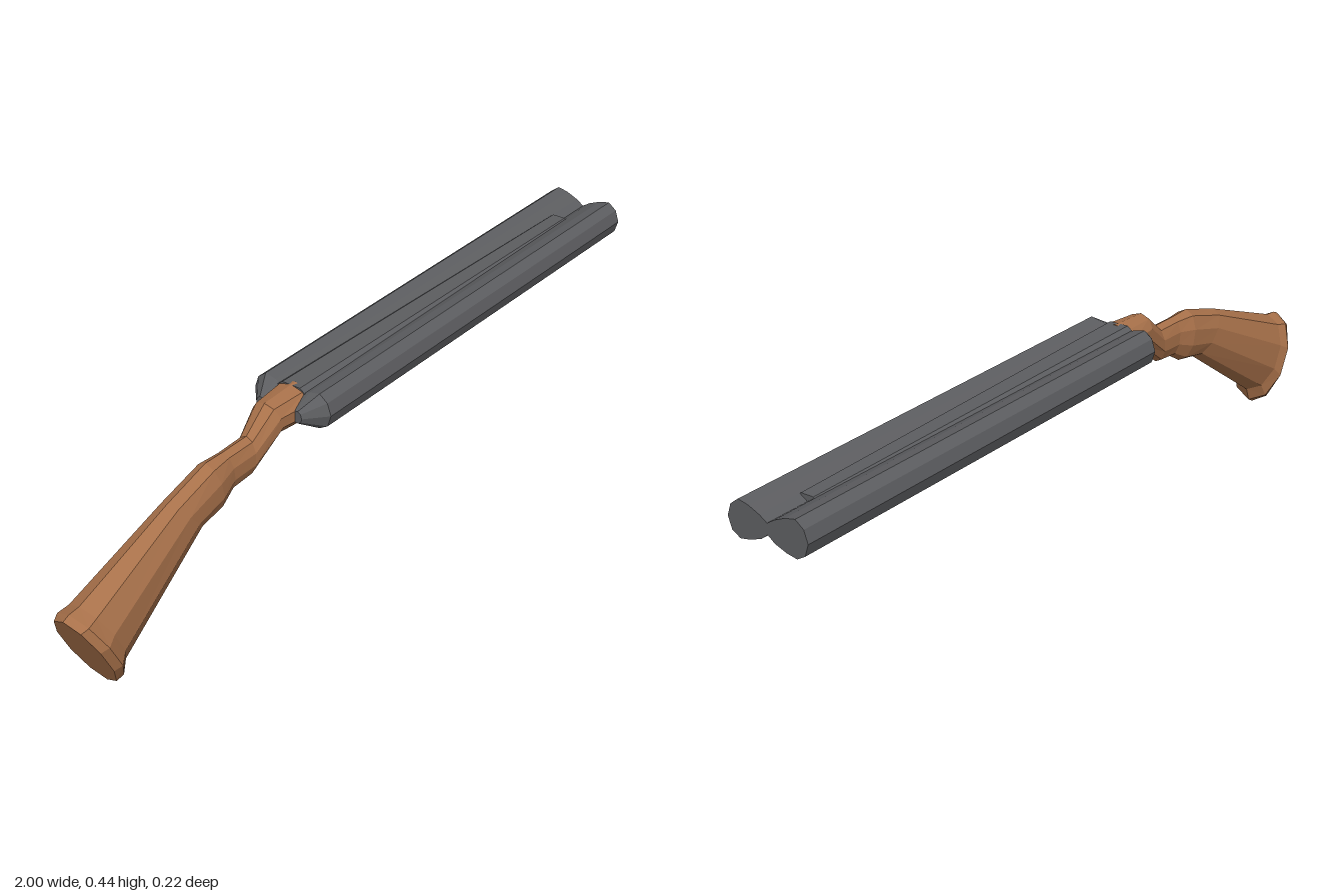
import * as THREE from 'three';

const wood = new THREE.MeshStandardMaterial({ color: 0xa8714a, flatShading: true });
const metal = new THREE.MeshStandardMaterial({ color: 0x5c5d60, flatShading: true });

// Skin a row of equal-length rings running towards +x, closed at both ends
function loft(name, rings, material) {
  const n = rings[0].length;
  const index = [];
  for (let i = 0; i < rings.length - 1; i++) {
    for (let j = 0; j < n; j++) {
      const a = i * n + j, b = i * n + (j + 1) % n;
      index.push(a, b, a + n, b, b + n, a + n);
    }
  }
  const last = (rings.length - 1) * n;
  for (let j = 1; j < n - 1; j++) {
    index.push(0, j + 1, j, last, last + j, last + j + 1);
  }
  const geometry = new THREE.BufferGeometry();
  geometry.setAttribute('position', new THREE.Float32BufferAttribute(rings.flat(2), 3));
  geometry.setIndex(index);
  const flat = geometry.toNonIndexed();
  flat.computeVertexNormals();
  const mesh = new THREE.Mesh(flat, material);
  mesh.name = name;
  return mesh;
}

// Elliptical ring through a top and a bottom point, with a half width in z
function ring([tx, ty, bx, by, w], sides, phase = 0) {
  return Array.from({ length: sides }, (_, j) => {
    const a = (j + phase) / sides * Math.PI * 2;
    const t = (1 - Math.cos(a)) / 2;
    return [tx + (bx - tx) * t, ty + (by - ty) * t, Math.sin(a) * w];
  });
}

// One barrel: flattened towards its twin, tapered at the breech
function barrel(name, side) {
  const outline = [
    [0.405, 0], [0.418, 0.02], [0.431, 0.05], [0.437, 0.078], [0.42, 0.1],
    [0.39, 0.11], [0.36, 0.1], [0.347, 0.078], [0.352, 0.05], [0.364, 0.018], [0.378, 0],
  ].map(([y, z]) => [y, z * side]);
  if (side < 0) outline.reverse();
  const section = (x, s) => outline.map(([y, z]) =>
    [x, 0.39 + (y - 0.39) * s, side * 0.042 + (z - side * 0.042) * s]);
  return loft(name, [section(-0.285, 0.35), section(-0.235, 1), section(1, 1)], metal);
}

export function createModel() {
  const group = new THREE.Group();

  // Stock: top x, top y, bottom x, bottom y, half width
  const stockSections = [
    [-1, 0.222, -0.885, 0, 0.066],
    [-0.982, 0.23, -0.868, 0.01, 0.077],
    [-0.95, 0.233, -0.855, 0.045, 0.068],
    [-0.67, 0.338, -0.575, 0.237, 0.041],
    [-0.54, 0.378, -0.51, 0.248, 0.039],
    [-0.48, 0.377, -0.467, 0.274, 0.028],
    [-0.4, 0.378, -0.405, 0.28, 0.03],
    [-0.335, 0.432, -0.31, 0.347, 0.043],
    [-0.225, 0.437, -0.22, 0.345, 0.058],
  ];
  group.add(loft('stock', stockSections.map((s) => ring(s, 10)), wood));

  // Twin barrels
  group.add(barrel('leftBarrel', 1), barrel('rightBarrel', -1));

  // Tapering rib that fills the gap between the barrels
  group.add(loft('barrelRib', [
    ring([-0.24, 0.439, -0.24, 0.341, 0.066], 8, 0.5),
    ring([0.88, 0.423, 0.88, 0.357, 0.045], 8, 0.5),
  ], metal));

  // Trigger guard
  const guard = new THREE.Mesh(new THREE.TorusGeometry(0.042, 0.009, 8, 20), metal);
  guard.name = 'triggerGuard';
  guard.position.set(-0.1, 0.343, 0);
  group.add(guard);

  return group;
}
